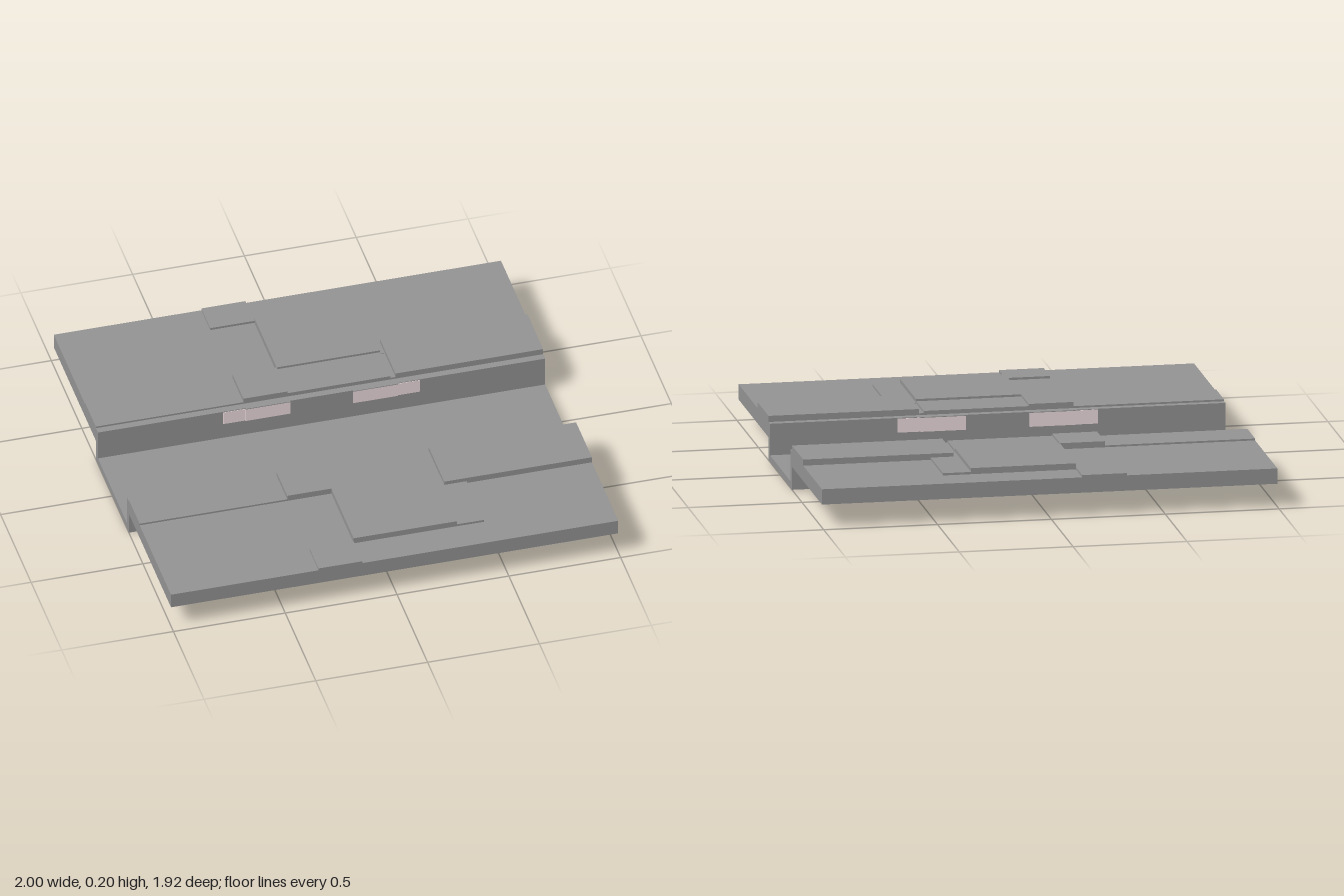
import * as THREE from 'three';

export function createModel() {
  const group = new THREE.Group();
  const grey = new THREE.MeshStandardMaterial({ color: 0x929292 });
  const lamp = new THREE.MeshStandardMaterial({ color: 0xecdadd });

  // Box given by its limits on each axis
  function box(name, x0, x1, y0, y1, z0, z1, material = grey) {
    const mesh = new THREE.Mesh(new THREE.BoxGeometry(x1 - x0, y1 - y0, Math.abs(z1 - z0)), material);
    mesh.position.set((x0 + x1) / 2, (y0 + y1) / 2, (z0 + z1) / 2);
    mesh.name = name;
    group.add(mesh);
  }

  // Deck and trench: one cross-section, mirrored and swept along x
  const half = [[0, 0], [0.27, 0], [0.27, 0.102], [0.96, 0.102], [0.96, 0.17], [0.237, 0.17], [0.237, 0.03], [0, 0.03]];
  const outline = [...half, ...half.slice(1, -1).reverse().map(([z, y]) => [-z, y])];
  const section = new THREE.Shape(outline.map(([z, y]) => new THREE.Vector2(z, y)));
  const deckGeometry = new THREE.ExtrudeGeometry(section, { depth: 2, bevelEnabled: false });
  deckGeometry.translate(0, 0, -1).rotateY(Math.PI / 2);
  const deck = new THREE.Mesh(deckGeometry, grey);
  deck.name = 'deckAndTrench';
  group.add(deck);

  // Raised plates: name, x range, distance range from the centre line, top height
  const plates = [
    ['edgeStrip', -1, 0.34, 0.27, 0.447, 0.178],
    ['edgeBlock', -0.34, -0.143, 0.27, 0.447, 0.197],
    ['innerPlate', -0.143, 0.318, 0.27, 0.447, 0.1875],
    ['mainPlate', -0.143, 0.318, 0.447, 0.814, 0.197],
    ['widePlate', 0.34, 1, 0.27, 0.528, 0.197],
    ['sidePlate', 0.318, 0.44, 0.447, 0.814, 0.18],
    ['outerPlate', -0.34, -0.143, 0.814, 0.96, 0.18],
  ];
  for (const s of [1, -1]) {
    for (const [name, x0, x1, z0, z1, top] of plates) box(name, x0, x1, 0.16, top, s * z0, s * z1);

    // Light panels high on the trench walls, each with a thinner outer section and a slim hood
    for (const m of [1, -1]) {
      const span = (a, b) => (m > 0 ? [a, b] : [-b, -a]);
      box('wallLight', ...span(0.14, 0.34), 0.105, 0.167, s * 0.231, s * 0.25, lamp);
      box('wallLightHood', ...span(0.14, 0.34), 0.167, 0.17, s * 0.231, s * 0.237);
      box('wallLightEnd', ...span(0.34, 0.44), 0.105, 0.167, s * 0.235, s * 0.25, lamp);
    }
  }
  return group;
}
